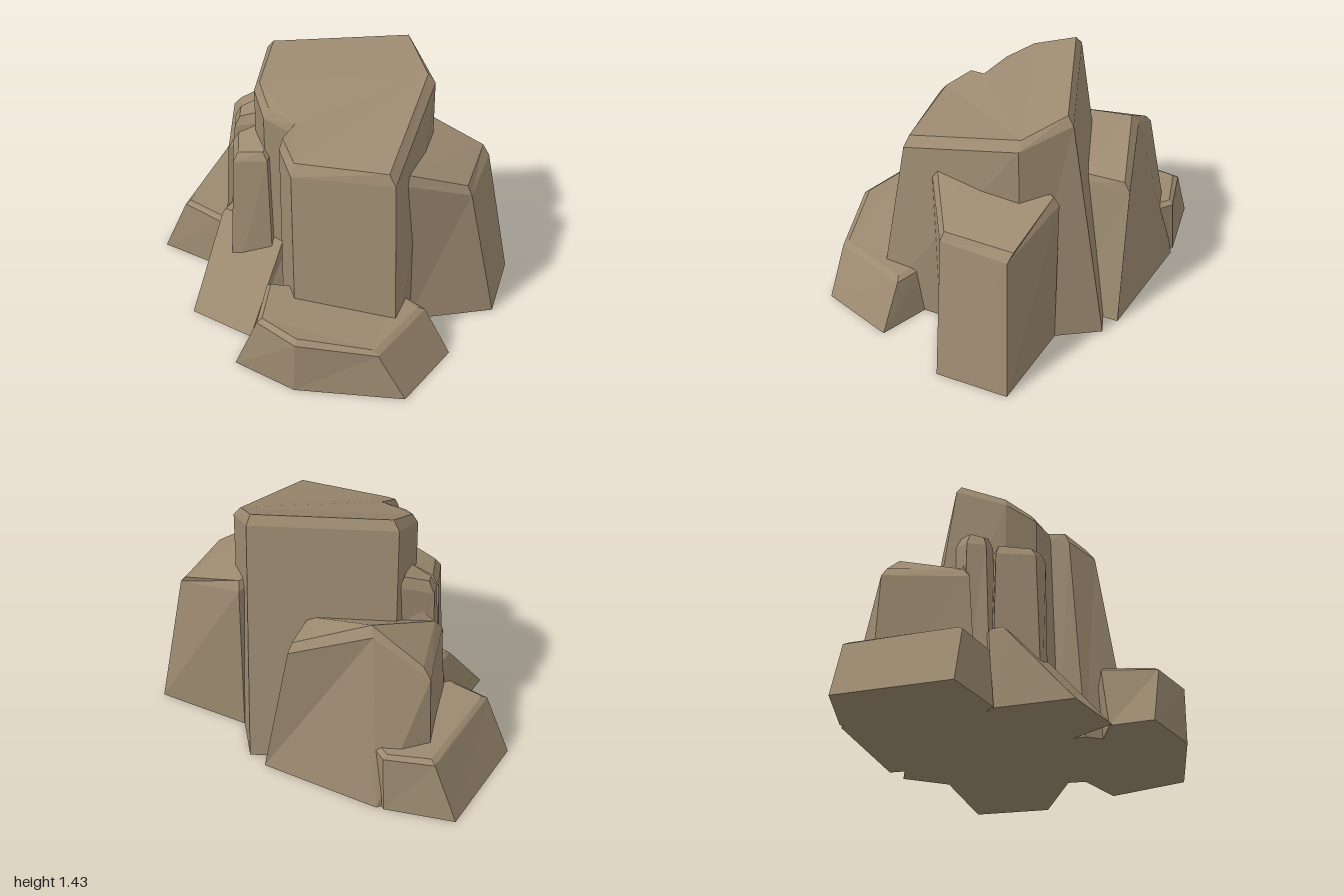
import * as THREE from 'three';

// Each corner of a rock: [base x, z,  shoulder x, y, z,  cap x, y, z]
const ROCKS = {
  mainRock: [
    [-0.35, -0.55, -0.35, 1.38, -0.36, -0.32, 1.43, -0.33],
    [0.43, -0.55, 0.43, 1.38, -0.36, 0.41, 1.43, -0.33],
    [0.53, -0.11, 0.53, 1.27, -0.09, 0.49, 1.32, -0.1],
    [0.25, 0.71, 0.25, 1.06, 0.54, 0.22, 1.12, 0.51],
    [-0.28, 0.58, -0.28, 1.06, 0.41, -0.26, 1.12, 0.37],
    [-0.33, 0.33, -0.33, 1.13, 0.26, -0.31, 1.19, 0.24],
    [-0.26, 0.2, -0.26, 1.17, 0.17, -0.24, 1.22, 0.16],
    [-0.4, 0.07, -0.4, 1.2, 0.07, -0.37, 1.25, 0.05],
    [-0.44, -0.11, -0.44, 1.27, -0.1, -0.41, 1.32, -0.1],
  ],
  rightRock: [
    [0.36, 0.36, 0.33, 0.94, 0.38, 0.34, 0.99, 0.35],
    [0.84, 0.32, 0.69, 0.8, 0.3, 0.67, 0.85, 0.28],
    [0.98, -0.07, 0.84, 0.8, -0.06, 0.81, 0.85, -0.09],
    [0.49, -0.29, 0.49, 0.92, -0.3, 0.49, 0.97, -0.27],
    [0.2, 0, 0.2, 0.95, 0, 0.22, 1, 0],
  ],
  frontRock: [
    [-0.61, 0.63, -0.49, 0.33, 0.69, -0.46, 0.35, 0.68],
    [-0.31, 0.87, -0.3, 0.31, 0.87, -0.29, 0.335, 0.84],
    [0.27, 0.99, 0.13, 0.26, 0.93, 0.11, 0.28, 0.9],
    [0.55, 0.65, 0.42, 0.26, 0.58, 0.38, 0.28, 0.58],
    [0.33, 0.44, 0.32, 0.27, 0.48, 0.28, 0.29, 0.48],
    [-0.5, 0.42, -0.42, 0.34, 0.4, -0.4, 0.36, 0.42],
  ],
  leftSlab: [
    [-0.83, 0.19, -0.64, 0.44, -0.13, -0.62, 0.46, -0.14],
    [-0.52, 0.43, -0.31, 0.44, 0.12, -0.31, 0.46, 0.1],
    [-0.2, 0.2, -0.24, 0.44, 0.02, -0.25, 0.46, 0],
    [-0.3, -0.3, -0.3, 0.44, -0.29, -0.3, 0.46, -0.28],
    [-0.65, -0.19, -0.6, 0.44, -0.21, -0.58, 0.46, -0.2],
  ],
  frontSpire: [
    [-0.61, 0.06, -0.57, 0.91, 0.04, -0.54, 0.96, 0.02],
    [-0.37, 0.13, -0.39, 0.96, 0.12, -0.41, 1, 0.09],
    [-0.34, 0.03, -0.35, 0.98, 0.03, -0.37, 1.02, 0],
    [-0.41, -0.19, -0.42, 0.98, -0.16, -0.43, 1.02, -0.14],
    [-0.6, -0.19, -0.56, 0.91, -0.17, -0.53, 0.97, -0.15],
  ],
  backSpire: [
    [-0.61, -0.2, -0.55, 0.96, -0.22, -0.52, 1.02, -0.23],
    [-0.4, -0.14, -0.4, 1.02, -0.16, -0.41, 1.07, -0.19],
    [-0.35, -0.37, -0.36, 1.03, -0.36, -0.38, 1.08, -0.33],
    [-0.57, -0.34, -0.54, 0.97, -0.32, -0.51, 1.04, -0.3],
  ],
  backRock: [
    [0.34, -0.63, 0.2, 0.8, -0.66, 0.18, 0.85, -0.63],
    [0.24, -0.35, 0.13, 0.8, -0.4, 0.11, 0.85, -0.4],
    [-0.32, -0.2, -0.32, 0.95, -0.3, -0.32, 1, -0.32],
    [-0.63, -0.27, -0.59, 0.75, -0.31, -0.55, 0.81, -0.34],
    [-0.56, -0.8, -0.54, 0.75, -0.76, -0.5, 0.81, -0.73],
    [-0.28, -0.92, -0.24, 0.95, -0.69, -0.23, 1, -0.65],
  ],
  lowBackRock: [
    [-0.98, -0.42, -0.85, 0.33, -0.37, -0.82, 0.35, -0.38],
    [-0.66, -0.19, -0.65, 0.31, -0.21, -0.64, 0.33, -0.24],
    [-0.3, -0.4, -0.3, 0.31, -0.4, -0.32, 0.33, -0.42],
    [-0.27, -0.84, -0.27, 0.33, -0.84, -0.3, 0.35, -0.84],
    [-0.32, -0.93, -0.31, 0.33, -0.91, -0.33, 0.35, -0.89],
    [-0.7, -1, -0.58, 0.33, -0.94, -0.56, 0.35, -0.91],
  ],
};

// Lofts base, shoulder and cap rings into a closed, faceted rock
function rockGeometry(corners) {
  const flat = (list, x, z) => list.map((c) => new THREE.Vector2(c[x], -c[z]));
  const list = THREE.ShapeUtils.isClockWise(flat(corners, 0, 1)) ? [...corners].reverse() : corners;
  const n = list.length;
  const positions = [];
  for (const c of list) positions.push(c[0], 0, c[1]);
  for (const c of list) positions.push(c[2], c[3], c[4]);
  for (const c of list) positions.push(c[5], c[6], c[7]);

  const index = [];
  for (let ring = 0; ring < 2; ring++) {
    for (let i = 0; i < n; i++) {
      const a = ring * n + i;
      const b = ring * n + ((i + 1) % n);
      index.push(a, b, b + n, a, b + n, a + n);
    }
  }
  // Cap faces up, base faces down
  for (const [a, b, c] of THREE.ShapeUtils.triangulateShape(flat(list, 5, 7), [])) {
    index.push(a + 2 * n, b + 2 * n, c + 2 * n);
  }
  for (const [a, b, c] of THREE.ShapeUtils.triangulateShape(flat(list, 0, 1), [])) {
    index.push(c, b, a);
  }

  const indexed = new THREE.BufferGeometry();
  indexed.setAttribute('position', new THREE.Float32BufferAttribute(positions, 3));
  indexed.setIndex(index);
  const geometry = indexed.toNonIndexed();
  geometry.computeVertexNormals();
  return geometry;
}

export function createModel() {
  const group = new THREE.Group();
  group.name = 'rockCluster';
  const stone = new THREE.MeshStandardMaterial({ color: 0x9c8a70 });
  stone.name = 'stone';
  for (const [name, corners] of Object.entries(ROCKS)) {
    const mesh = new THREE.Mesh(rockGeometry(corners), stone);
    mesh.name = name;
    group.add(mesh);
  }
  return group;
}
